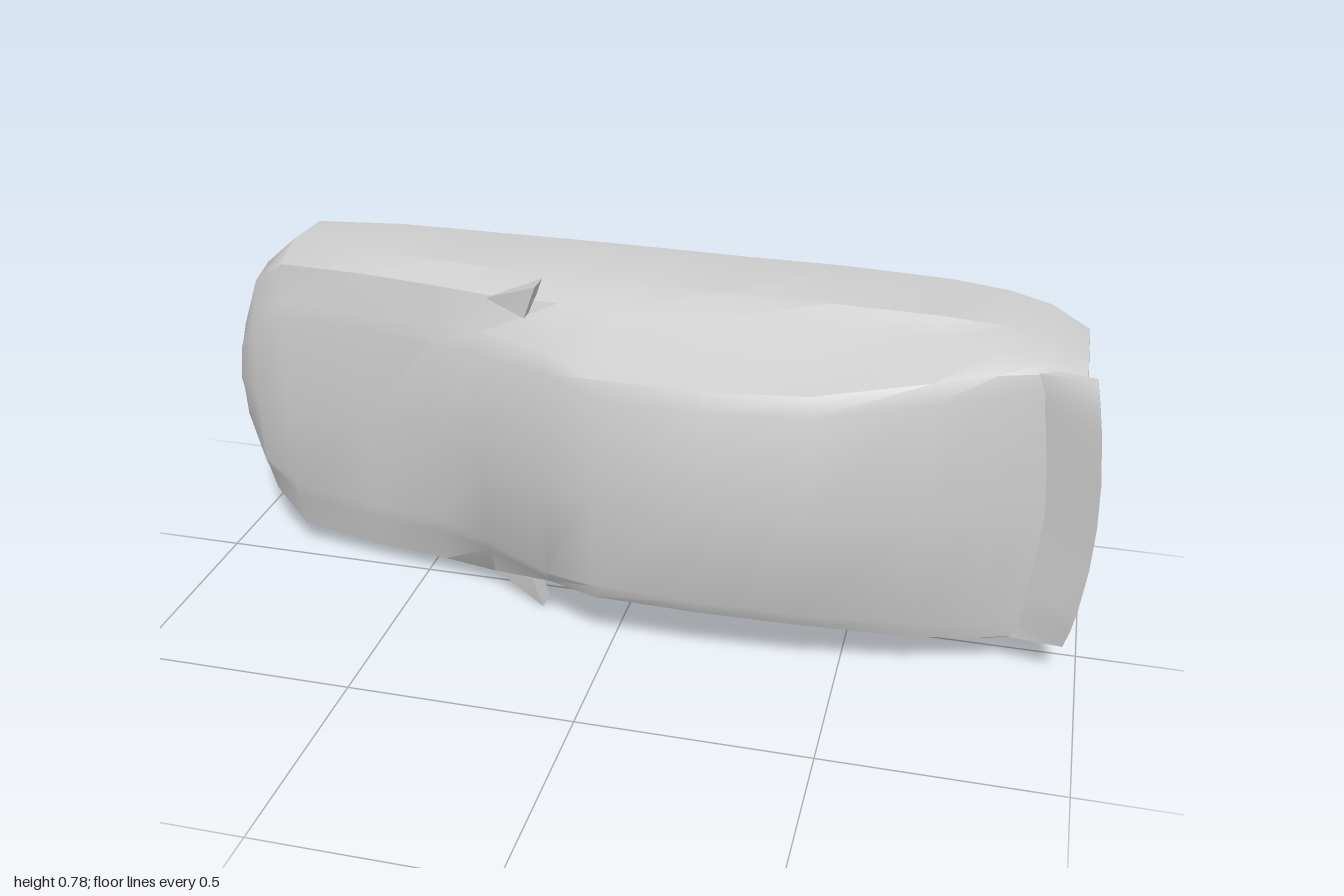
import * as THREE from 'three';
import { toCreasedNormals } from 'three/addons/utils/BufferGeometryUtils.js';

const MID = 0.395; // centre line of the car, which lies with its roof towards +z

// Skin a list of closed rings, capping both ends with fans
function loft(rings, crease, bulge = 0) {
  const n = rings[0].length, pos = rings.flat(2), index = [];
  for (let i = 0; i < rings.length - 1; i++) {
    for (let k = 0; k < n; k++) {
      const a = i * n + k, d = i * n + (k + 1) % n, b = a + n, c = d + n;
      index.push(a, d, b, d, c, b);
    }
  }
  [0, rings.length - 1].forEach((r) => {
    const centre = [0, 1, 2].map((j) => rings[r].reduce((s, p) => s + p[j], 0) / n);
    if (r) centre[0] += bulge;
    const m = pos.length / 3;
    pos.push(...centre);
    for (let k = 0; k < n; k++) {
      const a = r * n + k, b = r * n + (k + 1) % n;
      if (r) index.push(m, a, b); else index.push(m, b, a);
    }
  });
  const g = new THREE.BufferGeometry();
  g.setAttribute('position', new THREE.Float32BufferAttribute(pos, 3));
  g.setIndex(index);
  return toCreasedNormals(g, crease);
}

// Body sections: x, bow, floor z, floor half width, side w/z, shoulder w/z, roof edge w/z, top z
const SECTIONS = [
  [-1.00, 0, -.265, .04, .04, -.20, .04, -.16, .03, -.14, -.12],
  [-.985, 0, -.265, .14, .14, -.19, .135, -.14, .10, -.12, -.10],
  [-.92, 0, -.265, .285, .29, -.16, .27, -.09, .20, -.06, -.035],
  [-.83, 0, -.265, .362, .368, -.12, .335, -.045, .25, -.025, -.01],
  [-.62, 0, -.265, .373, .38, -.07, .345, -.01, .26, .01, .02],
  [-.45, 0, -.264, .373, .382, -.04, .345, .015, .26, .035, .052],
  [-.32, 0, -.263, .373, .382, -.02, .345, .04, .27, .07, .115],
  [-.15, 0, -.262, .373, .382, -.01, .345, .05, .28, .155, .208],
  [-.03, 0, -.261, .372, .381, -.01, .345, .05, .26, .225, .25],
  [.20, 0, -.258, .37, .380, -.01, .345, .045, .26, .232, .265],
  [.42, 0, -.255, .37, .378, -.01, .345, .04, .268, .215, .25],
];
const TAIL = [
  [.65, 0, -.232, .37, .374, -.01, .342, .035, .297, .158, .185],
  [.78, .005, -.217, .362, .365, -.01, .338, .065, .308, .112, .132],
  [.88, .012, -.208, .342, .345, -.01, .325, .06, .308, .082, .092],
  [.975, .028, -.195, .30, .305, -.06, .302, .04, .29, .075, .085],
];

function bodyRing([x, bow, zb, wb, wm, zm, ws, zs, wr, zr, zc]) {
  const half = [[wb, zb], [wm, zm], [ws, zs], [wr, zr], [wr * .86, zc - (zc - zr) * .4]];
  const other = half.map(([w, z]) => [-w, z]).reverse();
  return [[0, zb], ...half, [0, zc], ...other]
    .map(([w, z]) => [x - bow * (w / .3) ** 2, MID + w, z]);
}

// Thin lip across the tail, bowed backwards in the middle
function spoilerRing(w) {
  const t = (w / .31) ** 2;
  const xf = .88 - .035 * t, xr = 1 - .035 * t;
  const zr = .13 - .008 * t - .024 * t ** 4;
  const y = MID + w;
  return [[xr, y, zr], [xr, y, zr - .014], [xf + .05, y, .066], [xf, y, .085]];
}

// Pointed wedge opening from a tip to a rectangular rear face
function wedge(tip, y0, y1, z0, z1, x0, x1) {
  const e = .002, [x, y, z] = tip;
  return loft([
    [[x, y + e, z - e], [x, y + e, z + e], [x, y - e, z + e], [x, y - e, z - e]],
    [[x1, y1, z0], [x1, y1, z1], [x0, y0, z1], [x0, y0, z0]],
  ], .3);
}

export function createModel() {
  const group = new THREE.Group();
  const mat = new THREE.MeshStandardMaterial({ color: 0xcccccc });
  const add = (name, geometry) => {
    const mesh = new THREE.Mesh(geometry, mat);
    mesh.name = name;
    group.add(mesh);
  };

  // Shell with hood, cabin, sloping rear and flat floor
  add('body', loft([...SECTIONS, ...TAIL].map(bodyRing), .6, .015));

  // Tail lip
  add('spoiler', loft([-.31, -.26, -.2, -.1, 0, .1, .2, .26, .31].map(spoilerRing), .5));

  // Wing mirrors on both sides
  add('upperMirror', wedge([-.31, .735, .045], .715, .787, .036, .09, -.215, -.19));
  add('lowerMirror', wedge([-.31, .055, .045], .003, .075, .036, .09, -.19, -.215));

  // Exhaust under one rear corner
  add('exhaust', wedge([.86, .14, -.205], .10, .18, -.215, -.175, .972, .972));
  return group;
}
